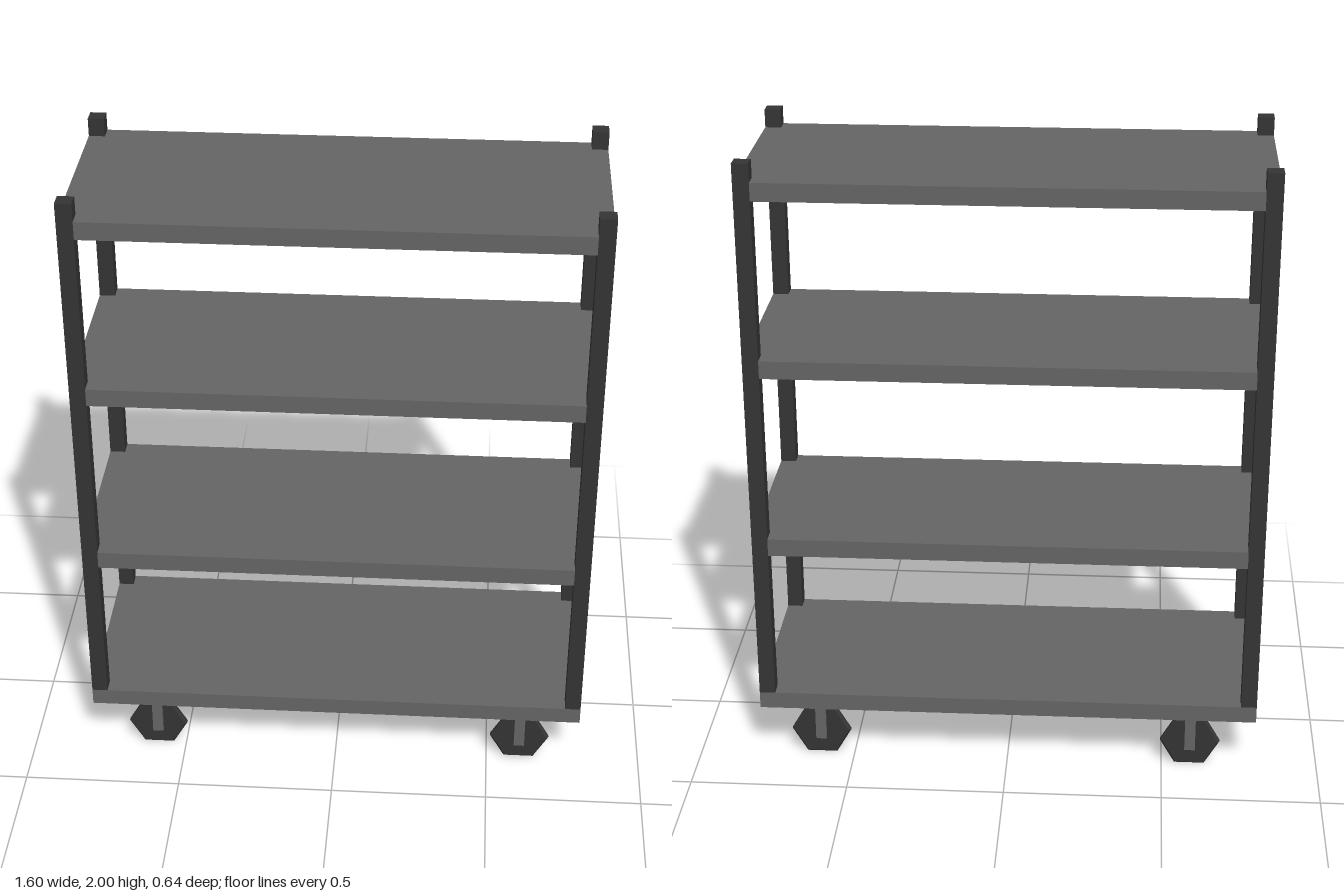
import * as THREE from 'three';

const HX = 0.798, HZ = 0.32;  // half width and half depth
const POST = 0.05;            // square post side
const BASE_Y = 0.18, BASE_TOP = 0.235, TOP = 2;

const steel = new THREE.MeshStandardMaterial({ color: 0x646464, flatShading: true });
const dark = new THREE.MeshStandardMaterial({ color: 0x343434, flatShading: true });

function add(parent, name, geometry, material, x, y, z) {
  const mesh = new THREE.Mesh(geometry, material);
  mesh.name = name;
  mesh.position.set(x, y, z);
  parent.add(mesh);
  return mesh;
}

// Shelf board with its four corners notched around the posts
function shelfGeometry(thickness) {
  const a = HX - POST, b = HZ - POST;
  const outline = [
    [a, -HZ], [a, -b], [HX, -b], [HX, b], [a, b], [a, HZ],
    [-a, HZ], [-a, b], [-HX, b], [-HX, -b], [-a, -b], [-a, -HZ],
  ].map(([x, y]) => new THREE.Vector2(x, y));
  const geo = new THREE.ExtrudeGeometry(new THREE.Shape(outline), { depth: thickness, bevelEnabled: false });
  return geo.rotateX(-Math.PI / 2);
}

// Six-sided wheel with chamfered rims, axle along z, points to the sides
function wheelGeometry() {
  const r = 0.096, h = 0.012, c = 0.007;
  const profile = [[0, -h], [r - c, -h], [r, -h + c], [r, h - c], [r - c, h], [0, h]]
    .map(([x, y]) => new THREE.Vector2(x, y));
  return new THREE.LatheGeometry(profile, 6, Math.PI / 2).rotateX(Math.PI / 2);
}

export function createModel() {
  const cart = new THREE.Group();
  cart.name = 'shelfCart';

  // Base platform
  add(cart, 'base', new THREE.BoxGeometry(HX * 2, BASE_TOP - BASE_Y, HZ * 2), steel,
    0, (BASE_Y + BASE_TOP) / 2, 0);

  // Shelves, given by their undersides
  const shelf = shelfGeometry(0.057);
  for (const y of [0.73, 1.328, 1.886]) add(cart, 'shelf', shelf, steel, 0, y, 0);

  // Corner posts
  const post = new THREE.BoxGeometry(POST, TOP - BASE_TOP, POST);
  for (const sx of [-1, 1]) for (const sz of [-1, 1]) {
    add(cart, 'post', post, dark,
      sx * (HX - POST / 2), (TOP + BASE_TOP) / 2, sz * (HZ - POST / 2));
  }

  // Casters: wheel with a flat bracket on its outer face
  const wheel = wheelGeometry();
  const bracket = new THREE.BoxGeometry(0.034, BASE_Y - 0.06, 0.012);
  for (const x of [-0.59, 0.606]) for (const sz of [-1, 1]) {
    const caster = new THREE.Group();
    caster.name = 'caster';
    caster.position.set(x, 0, sz * 0.282);
    add(caster, 'wheel', wheel, dark, 0, 0.0865, 0);
    add(caster, 'bracket', bracket, steel, 0, (BASE_Y + 0.06) / 2, sz * 0.017);
    cart.add(caster);
  }
  return cart;
}
